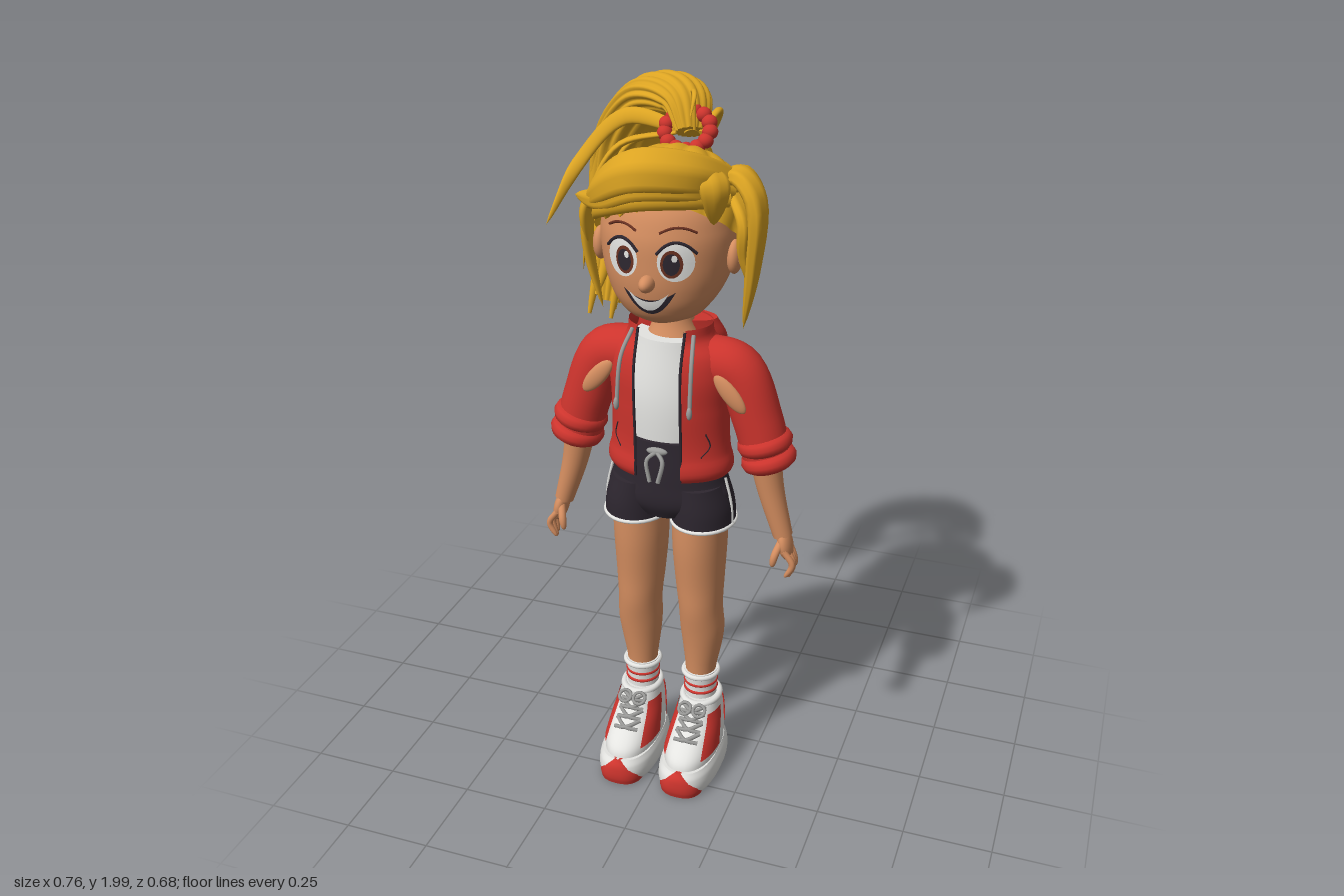
import * as THREE from 'three';

const V = (x, y, z) => new THREE.Vector3(x, y, z);
const TAU = Math.PI * 2;
const mat = (name, color, side = THREE.FrontSide) => Object.assign(new THREE.MeshStandardMaterial({ color, side }), { name });

// Skin over rings of points; closed rings are also capped.
function surface(rings, closed = true) {
  const pos = [], idx = [], n = rings[0].length;
  rings.flat().forEach(p => pos.push(p.x, p.y, p.z));
  for (let i = 0; i < rings.length - 1; i++) for (let j = 0; j < (closed ? n : n - 1); j++) {
    const a = i * n + j, b = i * n + (j + 1) % n;
    idx.push(a, a + n, b, b, a + n, b + n);
  }
  if (closed) [rings[0], rings[rings.length - 1]].forEach((r, top) => {
    const base = pos.length / 3, c = V(0, 0, 0);
    r.forEach(p => { c.addScaledVector(p, 1 / n); pos.push(p.x, p.y, p.z); });
    pos.push(c.x, c.y, c.z);
    for (let j = 0; j < n; j++) {
      const a = base + j, b = base + (j + 1) % n;
      idx.push(base + n, top ? b : a, top ? a : b);
    }
  });
  const g = new THREE.BufferGeometry();
  g.setAttribute('position', new THREE.Float32BufferAttribute(pos, 3));
  g.setIndex(idx);
  g.computeVertexNormals();
  return g;
}

// Smooth interpolation of rows [y, x, z, rx, rz], and the front surface they describe.
function profile(rows) {
  const f = new THREE.CubicInterpolant(rows.map(r => r[0]), rows.flatMap(r => r.slice(1)), 4);
  return y => Array.from(f.evaluate(y));
}
function frontOf(rows) {
  const f = profile(rows);
  return (x, y) => { const [, z, rx, rz] = f(y); return z + rz * Math.sqrt(Math.max(0, 1 - (x / rx) ** 2)); };
}

// Upright loft of ovals; arc(rx) gives the angles of an open shell (front is PI / 2).
function loft(rows, { n = 28, seg = 36, p = 1, arc } = {}) {
  const f = profile(rows), y0 = rows[0][0], y1 = rows[rows.length - 1][0], rings = [];
  const pw = v => Math.sign(v) * Math.abs(v) ** p;
  for (let i = 0; i <= n; i++) {
    const y = y0 + (y1 - y0) * i / n, [x, z, rx, rz] = f(y), [a0, a1] = arc ? arc(rx) : [0, TAU];
    rings.push(Array.from({ length: seg }, (_, j) => {
      const a = a0 + (a1 - a0) * j / (arc ? seg - 1 : seg);
      return V(x + rx * pw(Math.cos(a)), y, z + rz * pw(Math.sin(a)));
    }));
  }
  return surface(rings, !arc);
}

// Oval sweep along a curve; side is the direction of its half width w, d is its half depth.
const point = t => Math.sin(Math.PI * (0.15 + 0.85 * t)) ** 0.7;
const blunt = t => Math.sqrt(1 - t ** 5);
function strand(pts, w, d, side, { shape = point, n = 22, seg = 14, ridges = 0 } = {}) {
  const curve = new THREE.CatmullRomCurve3(pts.map(p => V(...p))), rings = [];
  for (let i = 0; i <= n; i++) {
    const t = i / n, c = curve.getPoint(t), T = curve.getTangent(t), N = V(...side);
    N.addScaledVector(T, -N.dot(T)).normalize();
    const B = N.clone().cross(T), f = Math.max(shape(t) || 0, 0);
    rings.push(Array.from({ length: seg }, (_, j) => {
      const a = j / seg * TAU, k = f * (ridges ? 0.92 + 0.12 * Math.abs(Math.sin(a * ridges / 2)) : 1);
      return c.clone().addScaledVector(N, Math.cos(a) * w * k).addScaledVector(B, Math.sin(a) * d * k);
    }));
  }
  return surface(rings);
}

const ball = (x, y, z, rx, ry, rz) => new THREE.SphereGeometry(1, 24, 16).scale(rx, ry, rz).translate(x, y, z);
const cord = (pts, r) => new THREE.TubeGeometry(new THREE.CatmullRomCurve3(pts.map(p => V(...p))), 20, r, 6);
const hoop = (x, y, z, rx, rz, t, tilt = 0) =>
  new THREE.TorusGeometry(1, t / rx, 10, 32).rotateX(Math.PI / 2).scale(rx, rx, rz).rotateZ(tilt).translate(x, y, z);

export function createModel() {
  const model = new THREE.Group();
  model.name = 'girl';
  const skin = mat('skin', 0xd58e60), hair = mat('hair', 0xdca422, THREE.DoubleSide);
  const red = mat('red', 0xcd342d, THREE.DoubleSide), white = mat('white', 0xe4e4e1);
  const dark = mat('dark', 0x2e2730), grey = mat('grey', 0x9b9b99), brown = mat('brown', 0x6b3222);
  const add = (name, geo, m) => model.add(Object.assign(new THREE.Mesh(geo, m), { name }));

  // Head and neck
  const headRows = [[1.43, 0, 0.17, 0.035, 0.03], [1.445, 0, 0.155, 0.085, 0.07], [1.48, 0, 0.14, 0.125, 0.11],
    [1.53, 0, 0.12, 0.155, 0.145], [1.6, 0, 0.105, 0.175, 0.165], [1.68, 0, 0.095, 0.18, 0.17],
    [1.76, 0, 0.08, 0.16, 0.15], [1.83, 0, 0.08, 0.06, 0.06]];
  add('head', loft(headRows, { n: 48, seg: 48 }), skin);
  add('neck', loft([[1.33, 0, 0.08, 0.085, 0.07], [1.4, 0, 0.073, 0.055, 0.052], [1.53, 0, 0.07, 0.052, 0.052]]), skin);
  add('nose', ball(0, 1.56, 0.272, 0.02, 0.022, 0.034), skin);

  // Face details laid on the curve of the face
  const faceZ = frontOf(headRows);
  const lay = (geo, map, off) => {
    const p = geo.attributes.position;
    for (let i = 0; i < p.count; i++) {
      const [x, y] = map(p.getX(i), p.getY(i));
      p.setXYZ(i, x, y, faceZ(x, y) + off);
    }
    geo.computeVertexNormals();
    return geo;
  };
  const spot = (x, y, rx, ry, off) => lay(new THREE.RingGeometry(0, 1, 28, 4), (u, v) => [x + u * rx, y + v * ry], off);
  const line = (x, y, w, rise, r) => cord([-1, -0.5, 0, 0.5, 1].map(u => [x + u * w, y - rise * u * u])
    .map(([px, py]) => [px, py, faceZ(px, py) + 0.003]), r);
  for (const s of [1, -1]) {
    add('eyeWhite', spot(s * 0.07, 1.618, 0.044, 0.05, 0.003), white);
    add('iris', spot(s * 0.062, 1.614, 0.027, 0.036, 0.005), brown);
    add('pupil', spot(s * 0.062, 1.614, 0.02, 0.028, 0.007), dark);
    add('eyeGlint', spot(s * 0.062 + 0.008, 1.63, 0.007, 0.009, 0.009), white);
    add('eyelash', line(s * 0.071, 1.669, 0.047, 0.03, 0.0045), dark);
    add('eyebrow', line(s * 0.073, 1.704, 0.043, 0.014, 0.0035), brown);
    add('ear', ball(s * 0.182, 1.605, 0.125, 0.02, 0.045, 0.032), skin);
    add('innerEar', hoop(0, 0, 0, 0.02, 0.014, 0.005).rotateZ(Math.PI / 2).translate(s * 0.2, 1.607, 0.127), skin);
  }
  const smile = (lo, w, off) => lay(new THREE.PlaneGeometry(2, 1, 18, 5), (u, v) => {
    const top = 1.514 + 0.025 * u * u, bottom = 1.476 + 0.063 * u * u, k = lo + (1 - lo) * (v + 0.5);
    return [u * w, bottom + (top - bottom) * k];
  }, off);
  add('mouth', smile(-0.1, 0.07, 0.003), dark);
  add('teeth', smile(0.3, 0.054, 0.006).translate(0, -0.003, 0), white);

  // Hair cap, grooved towards the ponytail
  const cap = new THREE.SphereGeometry(1, 112, 28, 0, TAU, 0, 1.78), cp = cap.attributes.position;
  for (let i = 0; i < cp.count; i++) {
    const x = cp.getX(i), z = cp.getZ(i);
    const k = 1 + 0.045 * Math.hypot(x, z) * Math.abs(Math.sin(7 * Math.atan2(z, x)));
    cp.setXYZ(i, x * k, cp.getY(i) * k, z * k);
  }
  cap.rotateX(-0.72).scale(0.202, 0.2, 0.184).translate(0.006, 1.66, 0.08).computeVertexNormals();
  add('hairCap', cap, hair);

  // Fringe swept from one parting, in broad locks over pointed ones
  const lock = (name, pts, w, d, side) => add(name, strand(pts, w, d, side, { ridges: w > 0.033 ? 6 : 0, seg: 24 }), hair);
  const up = [0, 0.9, -0.4], fore = [0.1, 0, 1], wide = [1, 0, 0];
  for (let k = 0; k < 3; k++) lock('fringe', [[0.185, 1.8 - 0.015 * k, 0.14 + 0.025 * k], [0.1, 1.845 - 0.03 * k, 0.255],
    [-0.015, 1.85 - 0.035 * k, 0.298 - 0.006 * k], [-0.12, 1.79 - 0.025 * k, 0.262],
    [-0.2 - 0.03 * Math.sin(2 * k), 1.71 + 0.035 * Math.sin(2 * k), 0.18]], 0.056 - 0.012 * k, 0.037 - 0.006 * k, up);
  for (let k = 0; k < 5; k++) {
    const x = -0.172 + 0.048 * k, y = 1.685 + 0.017 * k;
    lock('fringeTip', [[0.12, 1.81, 0.22], [0.5 * x + 0.04, 1.805, 0.265], [0.85 * x, y + 0.05, faceZ(0.85 * x, y + 0.05) + 0.028],
      [x, y, faceZ(x, y) + 0.02]], 0.03, 0.02, [0.5, 0.8, -0.3]);
  }
  lock('fringe', [[0.12, 1.84, 0.2], [0.16, 1.81, 0.235], [0.155, 1.71, 0.215]], 0.042, 0.024, [0.8, 0, -0.6]);

  // Side locks and wisps
  lock('sideLock', [[0.14, 1.79, 0.12], [0.2, 1.82, 0.15], [0.25, 1.77, 0.18], [0.245, 1.6, 0.175], [0.22, 1.43, 0.165]], 0.05, 0.028, fore);
  lock('sideLock', [[0.18, 1.78, 0.14], [0.225, 1.72, 0.19], [0.225, 1.63, 0.18], [0.245, 1.53, 0.17]], 0.038, 0.02, fore);
  lock('sideLock', [[-0.17, 1.79, 0.15], [-0.205, 1.7, 0.15], [-0.21, 1.58, 0.14], [-0.175, 1.43, 0.14]], 0.032, 0.016, fore);
  lock('sideLock', [[-0.16, 1.79, 0.17], [-0.195, 1.71, 0.19], [-0.195, 1.62, 0.18]], 0.028, 0.015, fore);
  lock('wisp', [[-0.03, 1.87, -0.07], [-0.2, 1.88, -0.1], [-0.33, 1.75, -0.09], [-0.385, 1.6, 0.025]], 0.024, 0.012, up);
  for (const k of [0, 1]) lock('wisp', [[-0.04, 1.86, -0.06], [-0.19 + 0.02 * k, 1.82, -0.03 - 0.03 * k],
    [-0.27 + 0.04 * k, 1.67, -0.01 - 0.03 * k], [-0.29 + 0.07 * k, 1.47, -0.03 * k]], 0.018, 0.009, fore);
  lock('wisp', [[0.02, 1.86, -0.08], [0.04, 1.9, -0.17], [0, 1.83, -0.25], [-0.09, 1.68, -0.27]], 0.011, 0.008, wide);
  lock('wisp', [[0.01, 1.87, -0.06], [0.01, 1.97, -0.05], [0.03, 1.97, 0], [0.03, 1.92, 0.035]], 0.007, 0.005, wide);
  lock('wisp', [[0.02, 1.86, -0.09], [0.03, 1.75, -0.14], [-0.02, 1.55, -0.12], [-0.04, 1.4, -0.06]], 0.012, 0.008, wide);

  // Ponytail with loose strands around it, and a beaded hair tie
  const tail = [[-0.005, 1.86, -0.075], [-0.04, 1.93, -0.13], [-0.14, 1.925, -0.195], [-0.24, 1.81, -0.245],
    [-0.275, 1.64, -0.25], [-0.25, 1.48, -0.19], [-0.26, 1.34, -0.13]], across = [0.65, 0, -0.75];
  const swell = t => Math.sin(Math.PI * (0.1 + 0.8 * t)) ** 0.75;
  add('ponytail', strand(tail, 0.1, 0.062, across, { n: 48, seg: 96, ridges: 15, shape: swell }), hair);
  for (let i = 0; i < 10; i++) {
    const a = i / 10 * TAU, u = 0.074 * Math.cos(a), v = 0.036 * Math.sin(a);
    add('ponytailStrand', strand(tail.map(([x, y, z], k) => {
      const g = Math.min(1, k / 3.5), drop = k === 6 ? 0.04 * Math.sin(i * 2.4) : 0;
      return [x + g * (u * 0.65 - v * 0.75), y + drop, z - g * (u * 0.75 + v * 0.65)];
    }), 0.032, 0.024, across, { n: 32, shape: t => point(t * 0.97) }), hair);
  }
  for (let i = 0; i < 13; i++) {
    const a = i / 13 * TAU, q = 0.055 * Math.sin(a);
    add('hairTieBead', ball(0.062 * Math.cos(a) - 0.01, 1.868 + q * 0.8, -0.063 - q * 0.6, 0.021, 0.02, 0.021), red);
  }

  // Shirt, open jacket, hood and shorts
  add('shirt', loft([[1.02, 0, 0.095, 0.13, 0.098], [1.2, 0, 0.095, 0.135, 0.1], [1.365, 0, 0.085, 0.1, 0.085]]), white);
  const jacketRows = [[0.975, 0, 0.1, 0.166, 0.112], [0.99, 0, 0.1, 0.177, 0.121], [1.02, 0, 0.1, 0.177, 0.121],
    [1.04, 0, 0.1, 0.171, 0.116], [1.18, 0, 0.1, 0.166, 0.12], [1.28, 0, 0.1, 0.17, 0.12], [1.335, 0, 0.098, 0.155, 0.11],
    [1.37, 0, 0.095, 0.12, 0.096], [1.405, 0, 0.095, 0.115, 0.092]];
  const gap = rx => [Math.PI - Math.acos(0.066 / rx), TAU + Math.acos(0.066 / rx)];
  add('jacket', loft(jacketRows, { n: 44, seg: 56, arc: gap }), red);
  add('hood', loft([[1.13, 0, -0.025, 0.012, 0.012], [1.18, 0, -0.03, 0.05, 0.038], [1.26, 0, -0.015, 0.1, 0.056],
    [1.34, 0, 0.015, 0.13, 0.062], [1.4, 0, 0.04, 0.11, 0.05]]), red);
  add('shorts', loft([[0.85, 0, 0.105, 0.1, 0.085], [0.89, 0, 0.105, 0.17, 0.103], [0.96, 0, 0.103, 0.165, 0.108],
    [1.085, 0, 0.1, 0.14, 0.106]]), dark);
  add('waistCordKnot', ball(0, 1.065, 0.212, 0.03, 0.011, 0.01), grey);
  const jacketZ = frontOf(jacketRows);
  for (const s of [1, -1]) {
    add('zipTape', cord([0.98, 1.1, 1.2, 1.3, 1.4].map(y => [s * 0.065, y, jacketZ(0.065, y)]), 0.004), dark);
    add('pocketLine', cord([[0.125, 1.12], [0.135, 1.08], [0.115, 1.05]].map(([x, y]) => [s * x, y, jacketZ(x, y)]), 0.002), dark);
    add('hoodCord', cord([[s * 0.085, 1.39, 0.16], [s * 0.098, 1.33, 0.215], [s * 0.102, 1.2, 0.243]], 0.006), grey);
    add('cordEnd', ball(s * 0.102, 1.205, 0.243, 0.008, 0.018, 0.008), grey);

    // Sleeves, rolled cuffs and shoulder cutouts
    add('sleeve', strand([[s * 0.1, 1.3, 0.098], [s * 0.185, 1.285, 0.097], [s * 0.245, 1.15, 0.097], [s * 0.278, 1.03, 0.098]],
      0.071, 0.073, fore, { shape: t => 1 - 0.1 * t, seg: 28 }), red);
    for (const k of [0, 1]) add('cuff', hoop(s * (0.268 + 0.012 * k), 1.085 - 0.047 * k, 0.098, 0.051, 0.052, 0.026, s * 0.28), red);
    add('sleeveCutout', ball(0, 0, 0, 0.024, 0.064, 0.013).rotateZ(s * 0.7).translate(s * 0.187, 1.24, 0.164), skin);

    // Arms and hands
    add('forearm', strand([[s * 0.265, 1.08, 0.1], [s * 0.288, 0.95, 0.1], [s * 0.328, 0.81, 0.102]],
      0.049, 0.047, fore, { shape: t => 1 - 0.42 * t, seg: 24 }), skin);
    add('palm', ball(0, 0, 0, 0.02, 0.048, 0.036).rotateZ(s * 0.22).translate(s * 0.337, 0.785, 0.104), skin);
    for (let i = 0; i < 4; i++) {
      const z = 0.075 + i * 0.019, tip = 0.683 + 0.006 * (i - 1.8) ** 2;
      add('finger', strand([[s * 0.34, 0.775, z], [s * (0.356 + i * 0.003), 0.735, z], [s * (0.362 - i * 0.006), tip, z]],
        0.009, 0.009, fore, { shape: blunt }), skin);
    }
    add('thumb', strand([[s * 0.33, 0.8, 0.12], [s * 0.318, 0.765, 0.145], [s * 0.312, 0.73, 0.15]], 0.011, 0.011, wide, { shape: blunt }), skin);

    // Shorts legs, legs and striped socks
    const ankle = s * 0.092, x = s * 0.094;
    add('waistCord', cord([[0, 1.065, 0.215], [s * 0.022, 1.045, 0.232], [s * 0.012, 0.985, 0.24]], 0.006), grey);
    add('shortsLeg', loft([[0.825, s * 0.099, 0.105, 0.09, 0.102], [0.88, s * 0.096, 0.105, 0.088, 0.104],
      [0.95, s * 0.085, 0.105, 0.078, 0.1]]), dark);
    add('shortsTrim', hoop(s * 0.099, 0.828, 0.105, 0.089, 0.101, 0.006), white);
    add('shortsStripe', cord([[s * 0.187, 0.83, 0.12], [s * 0.183, 0.89, 0.12], [s * 0.165, 0.97, 0.12]], 0.004), white);
    add('leg', loft([[0.24, ankle, 0.1, 0.042, 0.044], [0.32, ankle, 0.1, 0.045, 0.048], [0.4, s * 0.095, 0.097, 0.057, 0.06],
      [0.46, s * 0.096, 0.1, 0.064, 0.066], [0.54, s * 0.093, 0.108, 0.063, 0.071], [0.62, s * 0.09, 0.107, 0.069, 0.077],
      [0.75, s * 0.088, 0.105, 0.077, 0.091], [0.87, s * 0.09, 0.105, 0.078, 0.093]]), skin);
    add('sock', loft([[0.18, ankle, 0.1, 0.05, 0.052], [0.25, ankle, 0.1, 0.047, 0.049], [0.315, ankle, 0.1, 0.05, 0.053]]), white);
    add('sockCuff', hoop(ankle, 0.305, 0.1, 0.05, 0.052, 0.008), white);
    for (const y of [0.25, 0.275]) add('sockStripe', hoop(ankle, y, 0.1, 0.046, 0.048, 0.005), red);

    // Shoes
    add('sole', loft([[0, x, 0.17, 0.078, 0.148], [0.015, x, 0.17, 0.085, 0.158], [0.06, x, 0.17, 0.085, 0.158],
      [0.08, x, 0.168, 0.077, 0.148]], { p: 0.8 }), white);
    add('toeBumper', loft([[0.002, x, 0.262, 0.064, 0.068], [0.02, x, 0.262, 0.066, 0.073], [0.045, x, 0.262, 0.06, 0.073],
      [0.066, x, 0.262, 0.042, 0.068], [0.08, x, 0.262, 0.018, 0.058]], { p: 0.8 }), red);
    const upper = [[0.06, x, 0.165, 0.076, 0.147], [0.1, x, 0.158, 0.076, 0.142], [0.14, x, 0.136, 0.071, 0.12],
      [0.18, x, 0.112, 0.064, 0.094], [0.2, x, 0.107, 0.06, 0.083], [0.23, x, 0.1, 0.055, 0.068]];
    add('shoeUpper', loft(upper, { p: 0.9 }), white);
    const panel = upper.slice(1, 5).map(([y, px, z, rx, rz]) => [y, px, z, rx + 0.004, rz + 0.004]);
    for (const a of [[3.55, 5.87], [0.05, 0.85], [Math.PI - 0.85, Math.PI - 0.05]])
      add('shoePanel', loft(panel, { p: 0.9, n: 8, seg: 20, arc: () => a }), red);
    add('shoeCollar', hoop(x, 0.222, 0.1, 0.053, 0.064, 0.01), white);
    const shoeZ = frontOf(upper), at = (dx, y) => [x + dx, y, shoeZ(dx, y) + 0.006];
    for (const k of [1, -1]) {
      for (let y = 0.142; y < 0.21; y += 0.02)
        add('lace', cord([at(k * 0.036, y), at(0, y + 0.008), at(-k * 0.036, y + 0.018)], 0.006), grey);
      add('laceBow', new THREE.TorusGeometry(0.018, 0.005, 6, 16).rotateX(-0.9).translate(x + k * 0.022, 0.218, 0.19), grey);
    }
  }
  return model;
}
